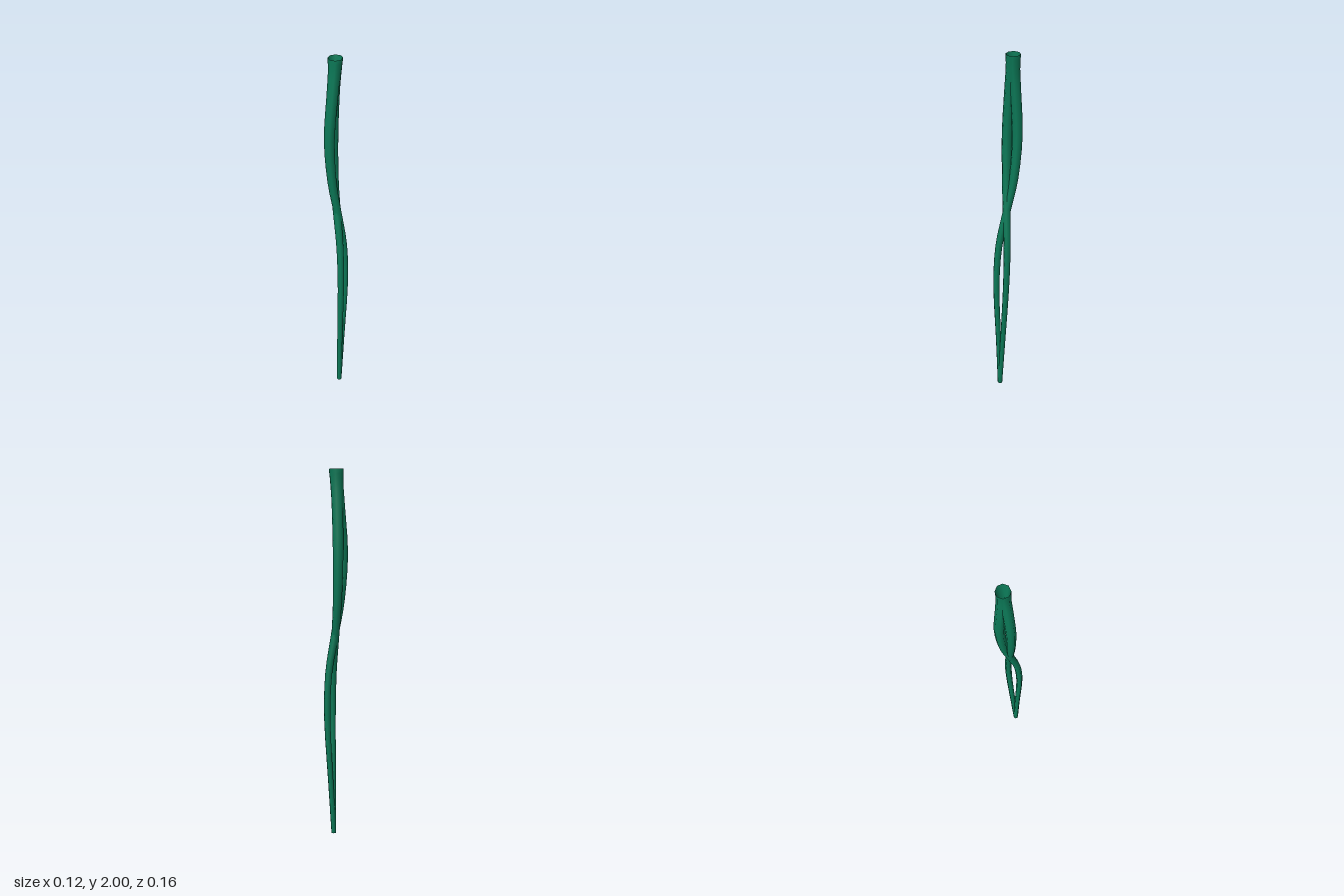
import * as THREE from 'three';
import { mergeVertices } from 'three/addons/utils/BufferGeometryUtils.js';

const SIDES = 8;
const STEPS = 27;

// Heights and radii shared by both stems: slim foot, flared mouth
const heights = [0, 0.3, 0.65, 0.9, 1.1, 1.3, 1.55, 1.8, 1.92, 2];
const radii = [0.013, 0.0145, 0.017, 0.019, 0.021, 0.024, 0.028, 0.03, 0.033, 0.039];

// Open tapered tube: a cylinder whose rings follow a centre line
function stemGeometry(xs, zs) {
  const spline = (pts) => new THREE.CatmullRomCurve3(pts, false, 'catmullrom', 0.5);
  const path = spline(heights.map((y, i) => new THREE.Vector3(xs[i], y, zs[i])));
  const width = spline(radii.map((r, i) => new THREE.Vector3(r, heights[i], 0)));
  const geo = new THREE.CylinderGeometry(1, 1, 1, SIDES, STEPS, true, Math.PI / SIDES);
  const pos = geo.attributes.position;
  for (let i = 0; i < pos.count; i++) {
    const t = THREE.MathUtils.clamp(pos.getY(i) + 0.5, 0, 1);
    const c = path.getPoint(t);
    const r = width.getPoint(t).x;
    pos.setXYZ(i, c.x + pos.getX(i) * r, c.y, c.z + pos.getZ(i) * r);
  }
  // Weld the seam so the shading stays smooth all round
  geo.deleteAttribute('uv');
  geo.deleteAttribute('normal');
  const welded = mergeVertices(geo, 1e-5);
  welded.computeVertexNormals();
  return welded;
}

export function createModel() {
  const group = new THREE.Group();
  group.name = 'twinStems';
  const green = new THREE.MeshStandardMaterial({ color: 0x0c7a58, side: THREE.DoubleSide });

  const stems = {
    // Swings sideways
    sidewaysStem: [
      [-0.002, 0.019, 0.042, 0.036, 0.005, -0.026, -0.038, -0.016, -0.002, 0.005],
      [0.045, 0.033, 0.02, 0.012, 0.007, 0, -0.007, -0.017, -0.024, -0.028],
    ],
    // Swings front to back
    frontToBackStem: [
      [-0.002, -0.002, -0.001, 0, 0, 0, 0.001, 0.002, 0.004, 0.005],
      [0.045, 0.053, 0.064, 0.049, 0.007, -0.034, -0.052, -0.04, -0.031, -0.028],
    ],
  };
  for (const [name, [xs, zs]] of Object.entries(stems)) {
    const mesh = new THREE.Mesh(stemGeometry(xs, zs), green);
    mesh.name = name;
    group.add(mesh);
  }
  return group;
}
